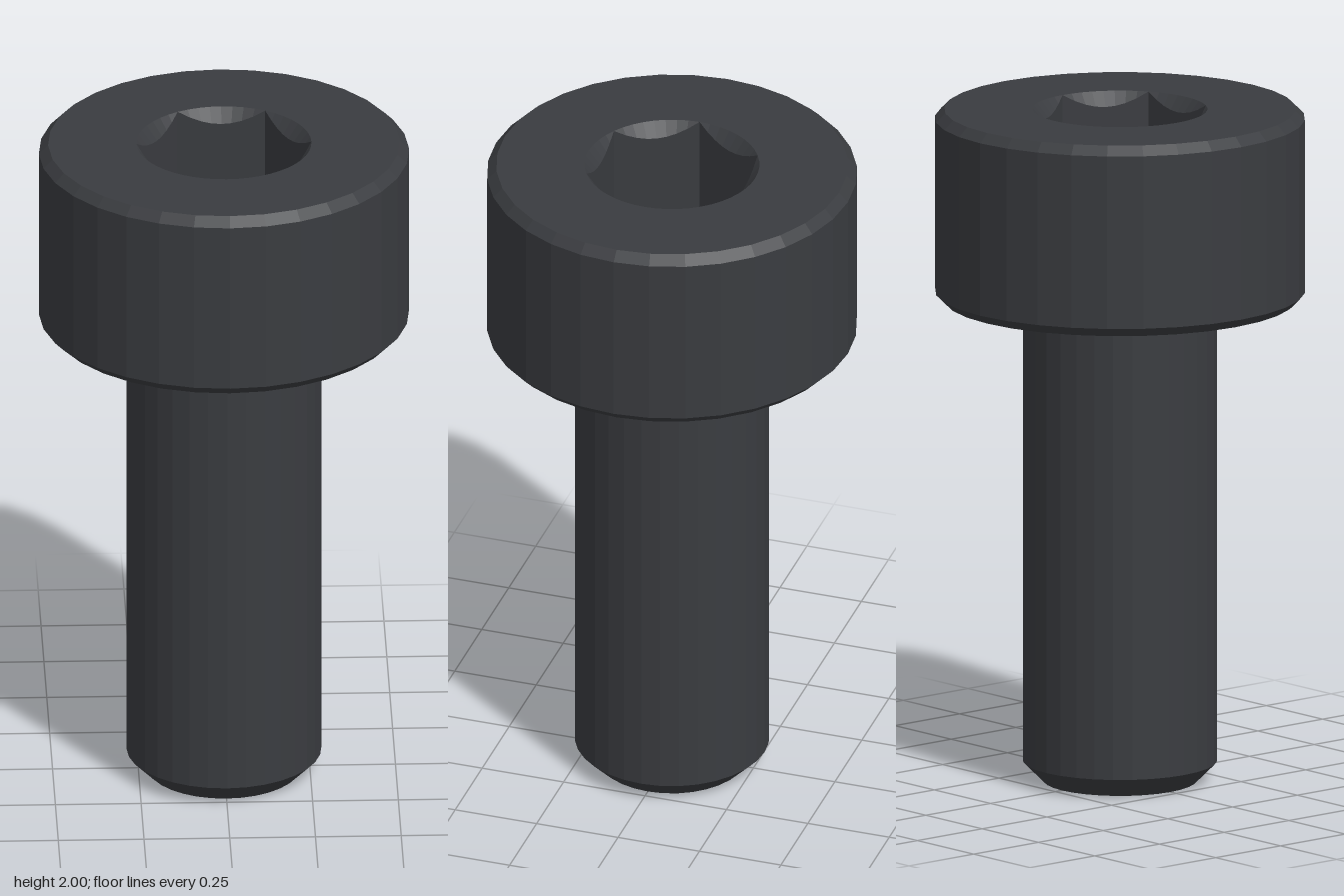
import * as THREE from 'three';

const SIDES = 32;
const HEAD_R = 0.54, SHANK_R = 0.284, HEAD_BASE = 1.432, TOP = 2, BEVEL = 0.027;
const SOCKET_R = 0.255, SOCKET_DEPTH = 0.29, FILLET = 0.025;

const material = new THREE.MeshStandardMaterial({ color: 0x3a3c40, flatShading: true });

function addPart(group, name, geometry) {
  const mesh = new THREE.Mesh(geometry, material);
  mesh.name = name;
  group.add(mesh);
  return mesh;
}

function lathe(points) {
  return new THREE.LatheGeometry(points.map(([r, y]) => new THREE.Vector2(r, y)), SIDES);
}

function circlePoints(radius, count) {
  return Array.from({ length: count }, (_, i) => {
    const a = (i / count) * Math.PI * 2;
    return new THREE.Vector2(radius * Math.cos(a), radius * Math.sin(a));
  });
}

// Hexagonal recess: round rim, cone cut by the six flats, walls and floor
function socketGeometry(count) {
  const apothem = SOCKET_R * Math.cos(Math.PI / 6);
  const floorY = TOP - SOCKET_DEPTH;
  const positions = [], indices = [];
  for (let i = 0; i <= count; i++) {
    const a = (i / count) * Math.PI * 2;
    const r = apothem / Math.cos((a % (Math.PI / 3)) - Math.PI / 6);
    const section = [[SOCKET_R, TOP], [r, TOP - (SOCKET_R - r) * 1.2], [r, floorY], [0, floorY]];
    for (const [d, y] of section) positions.push(d * Math.cos(a), y, d * Math.sin(a));
    if (i === count) break;
    for (let j = 0; j < 3; j++) {
      const p = i * 4 + j, q = p + 4;
      indices.push(p, p + 1, q);
      if (j < 2) indices.push(q, p + 1, q + 1);
    }
  }
  const geometry = new THREE.BufferGeometry();
  geometry.setAttribute('position', new THREE.Float32BufferAttribute(positions, 3));
  geometry.setIndex(indices);
  geometry.computeVertexNormals();
  return geometry;
}

export function createModel() {
  const group = new THREE.Group();
  group.name = 'socketHeadScrew';

  // Shank with chamfered tip and a fillet under the head
  const fillet = [];
  for (let i = 0; i <= 4; i++) {
    const a = (i / 4) * Math.PI / 2;
    fillet.push([SHANK_R + FILLET * (1 - Math.cos(a)), HEAD_BASE - FILLET * (1 - Math.sin(a))]);
  }
  addPart(group, 'shank', lathe([[0, 0], [SHANK_R - 0.06, 0], [SHANK_R, 0.06], ...fillet]));

  // Head with bevelled upper and lower edges
  addPart(group, 'head', lathe([
    [SHANK_R + FILLET, HEAD_BASE], [HEAD_R - BEVEL, HEAD_BASE], [HEAD_R, HEAD_BASE + BEVEL],
    [HEAD_R, TOP - BEVEL], [HEAD_R - BEVEL, TOP],
  ]));

  // Flat top face with a round opening
  const face = new THREE.Shape(circlePoints(HEAD_R - BEVEL, SIDES));
  face.holes.push(new THREE.Path(circlePoints(SOCKET_R, 48)));
  addPart(group, 'headTopFace', new THREE.ShapeGeometry(face).rotateX(-Math.PI / 2).translate(0, TOP, 0));

  addPart(group, 'hexSocket', socketGeometry(48));
  return group;
}
